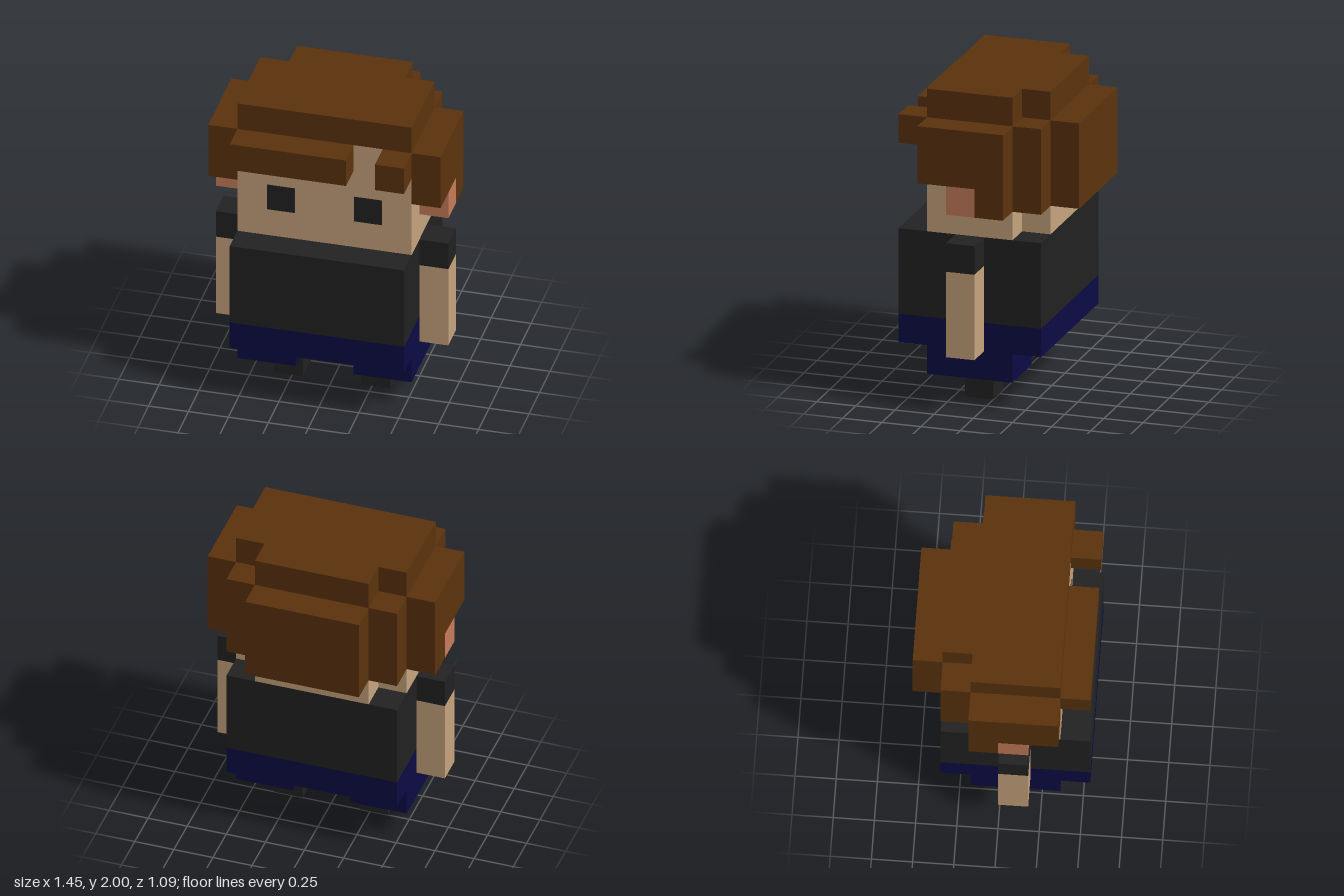
import * as THREE from 'three';

const U = 2 / 11; // one block

const material = (name, color) => {
  const m = new THREE.MeshStandardMaterial({ color });
  m.name = name;
  return m;
};

export function createModel() {
  const skin = material('skin', 0xc8a57e);
  const ear = material('flushed ear', 0xc87d5a);
  const hair = material('brown hair', 0x5c330d);
  const black = material('black cloth', 0x222222);
  const navy = material('navy cloth', 0x0b0b45);

  const group = new THREE.Group();
  group.name = 'blockFigure';

  const add = (name, geometry, mat) => {
    const mesh = new THREE.Mesh(geometry, mat);
    mesh.name = name;
    group.add(mesh);
    return mesh;
  };

  // Box between two corners, in block units
  const block = (name, mat, [x0, x1], [y0, y1], [z0, z1]) => {
    const g = new THREE.BoxGeometry((x1 - x0) * U, (y1 - y0) * U, (z1 - z0) * U);
    g.translate((x0 + x1) * U / 2, (y0 + y1) * U / 2, (z0 + z1) * U / 2);
    return add(name, g, mat);
  };

  // The same box on both sides of the body
  const pair = (name, mat, [x0, x1], y, z) => {
    block('left' + name, mat, [x0, x1], y, z);
    block('right' + name, mat, [-x1, -x0], y, z);
  };

  // Head outline seen from above, with both back corners notched
  const outline = new THREE.Shape(
    [[-3, -2], [3, -2], [3, 1], [2, 1], [2, 2], [-2, 2], [-2, 1], [-3, 1]]
      .map(([x, y]) => new THREE.Vector2(x * U, y * U)));
  const headSlab = (name, mat, y0, y1) => {
    const g = new THREE.ExtrudeGeometry(outline, { depth: (y1 - y0) * U, bevelEnabled: false });
    g.rotateX(-Math.PI / 2).translate(0, y0 * U, 0);
    add(name, g, mat);
  };

  // Feet, legs and torso
  pair('Foot', black, [1, 2], [0, 1], [0, 1]);
  pair('Leg', navy, [1, 3], [1, 2], [-1, 2]);
  block('hips', navy, [-3, 3], [2, 3], [-2, 3]);
  block('shirt', black, [-3, 3], [3, 6], [-2, 3]);

  // Arms
  pair('Arm', skin, [3, 4], [2, 5], [0, 1]);
  pair('Sleeve', black, [3, 4], [5, 6], [0, 1]);

  // Head, eyes and ears
  headSlab('head', skin, 6, 10);
  pair('Eye', black, [1.02, 1.98], [7.02, 7.98], [2, 2.02]);
  pair('Ear', ear, [3, 4], [7, 8], [0, 1]);

  // Hair: crown, sides, back and a parted fringe
  headSlab('hairCrown', hair, 10, 11);
  pair('SideHair', hair, [3, 4], [8, 10], [0, 2]);
  pair('RearSideHair', hair, [3, 4], [7, 10], [-1, 0]);
  pair('CornerHair', hair, [2, 3], [7, 10], [-2, -1]);
  block('backHair', hair, [-2, 2], [7, 10], [-3, -2]);
  block('wideFringe', hair, [-3, 1], [9, 10], [2, 3]);
  block('smallFringe', hair, [2, 3], [9, 10], [2, 3]);

  return group;
}
